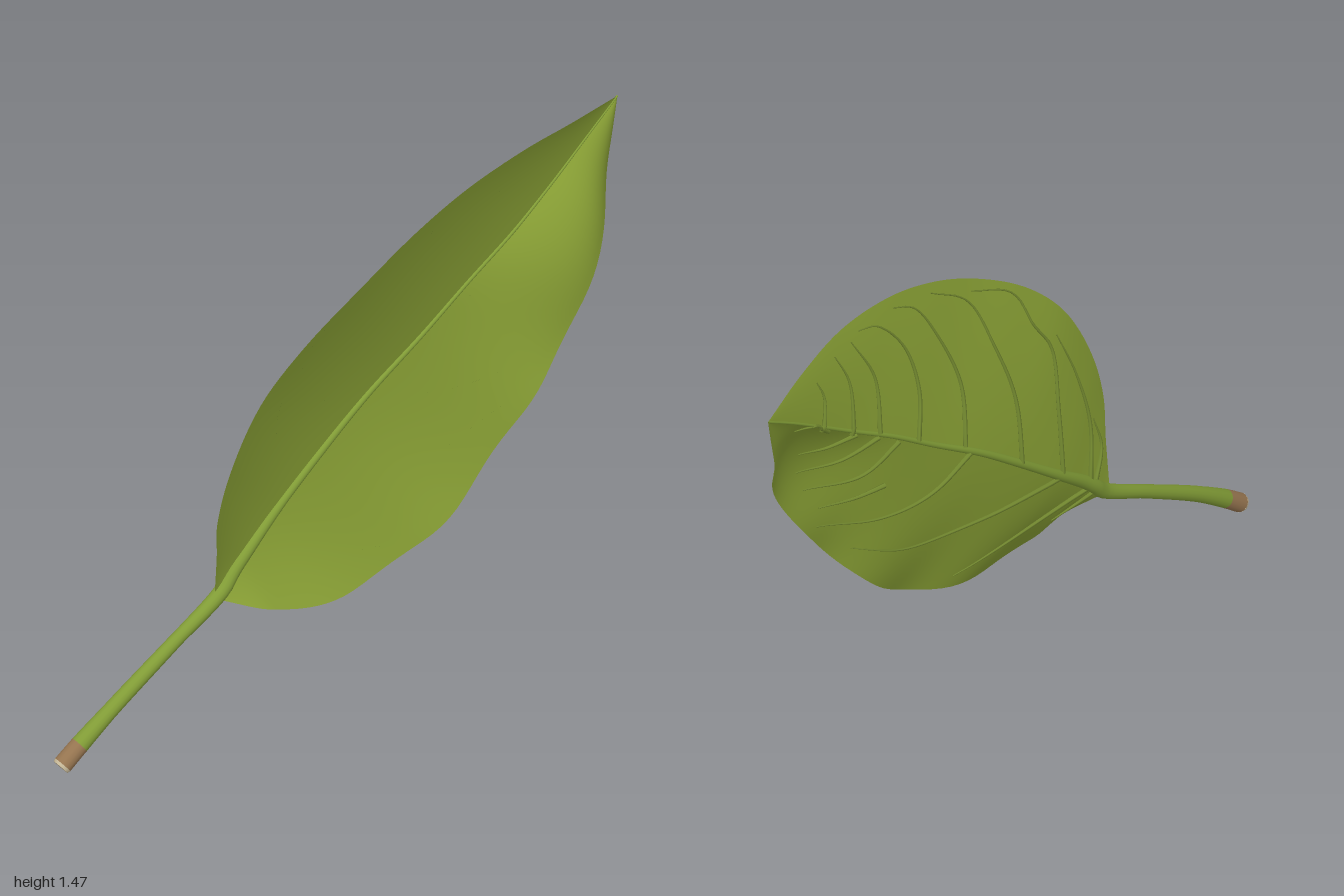
import * as THREE from 'three';

const mat = (name, color, side = THREE.FrontSide) => {
  const m = new THREE.MeshStandardMaterial({ color, side });
  m.name = name;
  return m;
};
const curveOf = (pts) => new THREE.CatmullRomCurve3(pts.map((p) => new THREE.Vector3(...p)));

// Midrib and the two margins; equal indices are joined by ribs
const RIB = [
  [-0.42, 0.38, 0.035], [-0.375, 0.425, 0.025], [-0.325, 0.47, 0.018], [-0.22, 0.555, 0],
  [-0.06, 0.685, -0.015], [0.1, 0.81, -0.025], [0.29, 0.94, -0.032], [0.45, 1.055, -0.04],
  [0.61, 1.16, -0.052], [0.76, 1.265, -0.073], [0.88, 1.35, -0.095], [1, 1.43, -0.12],
];
const UPPER = [
  [-0.445, 0.39, 0.04], [-0.455, 0.53, 0.065], [-0.47, 0.65, 0.09], [-0.435, 0.81, 0.1],
  [-0.335, 1.01, 0.105], [-0.2, 1.155, 0.115], [0, 1.29, 0.112], [0.19, 1.385, 0.09],
  [0.38, 1.445, 0.06], [0.6, 1.47, 0.015], [0.8, 1.455, -0.045], [1, 1.43, -0.12],
];
const LOWER = [
  [-0.43, 0.36, 0.045], [-0.3, 0.31, 0.098], [-0.2, 0.28, 0.105], [-0.02, 0.27, 0.095],
  [0.19, 0.325, 0.08], [0.365, 0.42, 0.065], [0.53, 0.58, 0.052], [0.66, 0.74, 0.05],
  [0.785, 0.915, 0.04], [0.885, 1.09, -0.015], [0.95, 1.25, -0.09], [1, 1.43, -0.12],
];

// One half of the blade from midrib to margin, arched by bowAt(t), with a slight ripple
function bladeHalf(margin, flip, ripple, bowAt) {
  const NT = 66, NS = 12, pos = [], idx = [];
  const rib = curveOf(RIB), edge = curveOf(margin);
  for (let i = 0; i <= NT; i++) {
    const t = i / NT, a = rib.getPoint(t), b = edge.getPoint(t);
    const width = a.distanceTo(b);
    for (let j = 0; j <= NS; j++) {
      const s = j / NS, p = a.clone().lerp(b, s);
      p.z += bowAt(t) * width * s * (1 - s);
      p.z += ripple * width * s * s * Math.sin(t * 34);
      pos.push(p.x, p.y, p.z);
      if (i < NT && j < NS) {
        const k = i * (NS + 1) + j, n = k + NS + 1;
        if (flip) idx.push(k, n + 1, k + 1, k, n, n + 1);
        else idx.push(k, k + 1, n + 1, k, n + 1, n);
      }
    }
  }
  const g = new THREE.BufferGeometry();
  g.setAttribute('position', new THREE.Float32BufferAttribute(pos, 3));
  g.setIndex(idx);
  g.computeVertexNormals();
  return g;
}

// Tube whose radius follows radiusAt(u)
function taperedTube(curve, segments, sides, radiusAt) {
  const g = new THREE.TubeGeometry(curve, segments, 1, sides, false);
  const p = g.attributes.position, v = new THREE.Vector3();
  for (let i = 0; i <= segments; i++) {
    const u = i / segments, c = curve.getPointAt(u), r = radiusAt(u);
    for (let j = 0; j <= sides; j++) {
      const k = i * (sides + 1) + j;
      v.fromBufferAttribute(p, k).sub(c).multiplyScalar(r).add(c);
      p.setXYZ(k, v.x, v.y, v.z);
    }
  }
  return g;
}

// Side veins as x, y paths starting at the midrib
const VEINS = [
  [[-0.375, 0.45], [-0.42, 0.53], [-0.4, 0.63]],
  [[-0.35, 0.46], [-0.375, 0.63], [-0.34, 0.81], [-0.28, 0.97]],
  [[-0.225, 0.56], [-0.235, 0.76], [-0.245, 0.95], [-0.19, 1.05], [-0.14, 1.17], [0.03, 1.27]],
  [[-0.055, 0.69], [-0.06, 0.9], [-0.015, 1.08], [0.05, 1.25], [0.2, 1.36]],
  [[0.17, 0.87], [0.15, 1.055], [0.21, 1.24], [0.28, 1.36], [0.37, 1.41]],
  [[0.355, 0.99], [0.325, 1.135], [0.355, 1.285], [0.45, 1.4], [0.53, 1.43]],
  [[0.51, 1.1], [0.5, 1.27], [0.57, 1.42]],
  [[0.62, 1.16], [0.61, 1.32], [0.65, 1.42]],
  [[0.75, 1.25], [0.73, 1.34], [0.75, 1.4]],
  [[-0.39, 0.42], [-0.33, 0.375], [-0.25, 0.345]],
  [[-0.36, 0.44], [-0.2, 0.4], [0.13, 0.35]],
  [[-0.23, 0.55], [0.06, 0.545], [0.33, 0.575], [0.54, 0.67]],
  [[0.15, 0.84], [0.28, 0.76], [0.46, 0.75], [0.67, 0.81]],
  [[0.43, 1.03], [0.54, 0.95], [0.73, 0.97]],
  [[0.46, 0.88], [0.56, 0.87], [0.67, 0.88]],
  [[0.51, 1.09], [0.62, 1.04], [0.76, 1.05]],
  [[0.6, 1.15], [0.68, 1.12], [0.77, 1.13]],
  [[0.72, 1.23], [0.79, 1.285], [0.85, 1.29]],
];

export function createModel() {
  const leafGreen = mat('leaf green', 0x879e34, THREE.DoubleSide);
  const stemGreen = mat('stem green', 0x819c36);
  const veinGreen = mat('vein green', 0x748a30);
  const brown = mat('cut brown', 0x967550);
  const cream = mat('cut cream', 0xcbbd9c);
  const model = new THREE.Group();
  model.name = 'leaf';
  const add = (name, geometry, material, parent = model) => {
    const m = new THREE.Mesh(geometry, material);
    m.name = name;
    parent.add(m);
    return m;
  };

  // Blade; the lower half rolls back towards the tip
  const blade = new THREE.Group();
  blade.name = 'blade';
  model.add(blade);
  add('upperBlade', bladeHalf(UPPER, false, 0, () => -0.1), leafGreen, blade);
  const roll = (t) => -0.1 + 0.75 * THREE.MathUtils.smoothstep(t, 0.58, 0.85);
  add('lowerBlade', bladeHalf(LOWER, true, 0.025, roll), leafGreen, blade);

  // Stem running on into the midrib, with a brown foot
  const stemCurve = curveOf([
    [-0.977, 0.029, 0.079], [-0.92, 0.073, 0.077], [-0.8, 0.155, 0.07], [-0.6, 0.275, 0.053],
    ...RIB,
  ]);
  const SEG = 100, SIDES = 14;
  const stops = [[0, 0.028], [0.03, 0.027], [0.08, 0.023], [0.2, 0.02], [0.28, 0.023],
    [0.4, 0.014], [0.65, 0.008], [1, 0.003]];
  const stemRadius = (u) => {
    const i = Math.max(1, stops.findIndex((s) => s[0] >= u));
    const [a, ra] = stops[i - 1], [b, rb] = stops[i];
    return THREE.MathUtils.lerp(ra, rb, (u - a) / (b - a));
  };
  const stem = taperedTube(stemCurve, SEG, SIDES, stemRadius);
  const foot = 3 * SIDES * 6;
  stem.clearGroups();
  stem.addGroup(0, foot, 0);
  stem.addGroup(foot, stem.index.count - foot, 1);
  add('stemAndMidrib', stem, [brown, stemGreen]);

  // Pale bevelled cut end of the stem
  const bevel = new THREE.CylinderGeometry(0.025, 0.028, 0.009, SIDES).rotateX(Math.PI / 2);
  const cut = add('stemCut', bevel.translate(0, 0, 0.0045), cream);
  cut.position.copy(stemCurve.getPointAt(0));
  cut.lookAt(cut.position.clone().sub(stemCurve.getTangentAt(0)));

  // Veins resting on the front of the blade
  const veins = new THREE.Group();
  veins.name = 'veins';
  model.add(veins);
  const ray = new THREE.Raycaster();
  const inward = new THREE.Vector3(0, 0, -1);
  const veinRadius = (u) => 0.0075 - 0.0058 * u;
  for (const path of VEINS) {
    const flat = curveOf(path.map(([x, y]) => [x, y, 0]));
    const draped = [];
    flat.getSpacedPoints(18).forEach((p, i) => {
      ray.set(new THREE.Vector3(p.x, p.y, 3), inward);
      const hit = ray.intersectObjects(blade.children)[0];
      if (hit) draped.push(hit.point.addScaledVector(hit.face.normal, veinRadius(i / 18)).toArray());
    });
    add('vein', taperedTube(curveOf(draped), 32, 5, veinRadius), veinGreen, veins);
  }
  return model;
}
